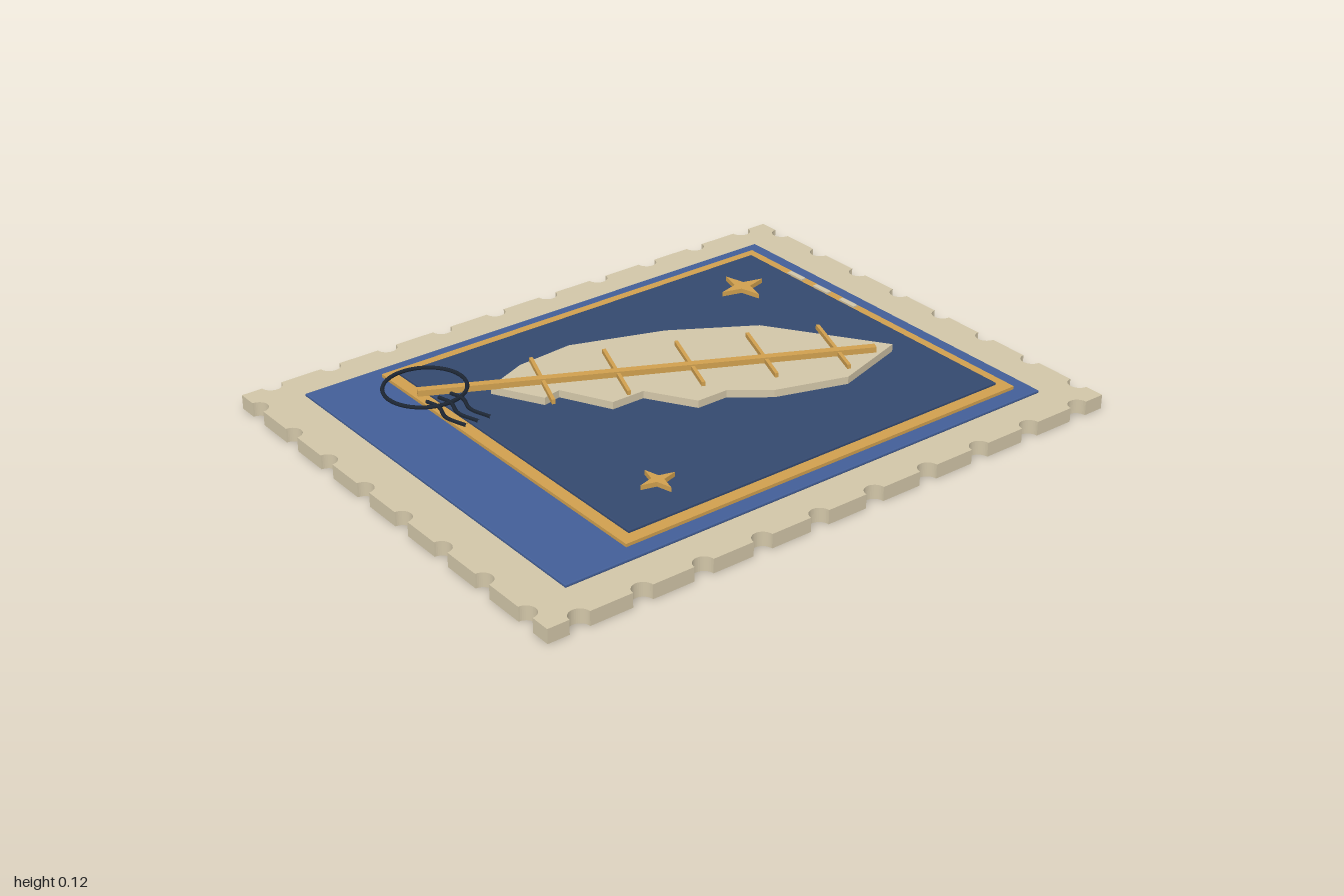
import * as THREE from 'three';

const mat = (color) => new THREE.MeshStandardMaterial({ color, flatShading: true });
const PAPER = mat(0xd2c6a8), BLUE = mat(0x435f98), NAVY = mat(0x34496f);
const GOLD = mat(0xd0a04f), INK = mat(0x1c2532);

export function createModel() {
  const root = new THREE.Group();

  const add = (name, geometry, material) => {
    const mesh = new THREE.Mesh(geometry, material);
    mesh.name = name;
    root.add(mesh);
    return mesh;
  };

  // Lays a shape drawn in (x, -z) flat and extrudes it upward from y0 to y1.
  const slab = (name, shape, y0, y1, material, bevel = 0) => {
    const geo = new THREE.ExtrudeGeometry(shape, {
      depth: y1 - y0 - 2 * bevel, curveSegments: 10, bevelEnabled: bevel > 0,
      bevelSize: bevel, bevelThickness: bevel, bevelOffset: -bevel, bevelSegments: 2,
    });
    geo.rotateX(-Math.PI / 2).translate(0, y0 + bevel, 0);
    return add(name, geo, material);
  };

  const polygon = (points) => new THREE.Shape(points.map(([x, z]) => new THREE.Vector2(x, -z)));
  const rect = (x, z0, z1) => polygon([[-x, z1], [x, z1], [x, z0], [-x, z0]]);

  // Flat bar between two points of the ground plane.
  const bar = (name, [x0, z0], [x1, z1], width, y0, y1, material) => {
    const geo = new THREE.BoxGeometry(Math.hypot(x1 - x0, z1 - z0), y1 - y0, width);
    const mesh = add(name, geo, material);
    mesh.position.set((x0 + x1) / 2, (y0 + y1) / 2, (z0 + z1) / 2);
    mesh.rotation.y = -Math.atan2(z1 - z0, x1 - x0);
  };

  // Paper with perforated edges
  const W = 0.778, H = 1, R = 0.032;
  const paper = new THREE.Shape();
  paper.moveTo(-W, -H);
  const sides = [
    [0, -H, 0, 8, 0.195, W, -H],
    [W, 0, Math.PI / 2, 10, 0.2, W, H],
    [0, H, Math.PI, 8, 0.195, -W, H],
    [-W, 0, -Math.PI / 2, 10, 0.2, -W, -H],
  ];
  for (const [mx, my, dir, count, step, endX, endY] of sides) {
    for (let i = 0; i < count; i++) {
      const t = (i - (count - 1) / 2) * step;
      paper.absarc(mx + t * Math.cos(dir), my + t * Math.sin(dir), R, dir + Math.PI, dir, true);
    }
    paper.lineTo(endX, endY);
  }
  slab('perforatedPaper', paper, 0, 0.045, PAPER);

  // Stacked picture panels
  slab('bluePanel', rect(0.655, -0.86, 0.856), 0.045, 0.055, BLUE, 0.003);
  const frame = rect(0.605, -0.806, 0.624);
  frame.holes.push(rect(0.55, -0.755, 0.57));
  slab('goldFrame', frame, 0.055, 0.065, GOLD);
  slab('innerPanel', rect(0.566, -0.77, 0.586), 0.055, 0.073, NAVY, 0.003);

  // Small dashes on the top rail of the frame
  for (const x of [-0.36, -0.235, -0.11]) {
    bar('frameDash', [x - 0.034, -0.79], [x + 0.034, -0.79], 0.018, 0.06, 0.07, PAPER);
  }

  // Feather vane with a ragged right edge
  slab('featherVane', polygon([
    [0.23, -0.665], [0.305, -0.42], [0.235, -0.195], [0.15, -0.085], [0.15, 0.02],
    [0.005, 0.11], [0.005, 0.22], [-0.15, 0.3], [-0.137, 0.36], [-0.29, 0.445],
    [-0.35, 0.3], [-0.365, 0.11], [-0.265, -0.18], [-0.115, -0.43],
  ]), 0.073, 0.097, PAPER);

  // Quill and barbs
  bar('quill', [0.23, -0.595], [-0.38, 0.64], 0.024, 0.096, 0.115, GOLD);
  for (let i = 0; i < 5; i++) {
    const x = 0.14 - 0.09 * i, z = -0.505 + 0.204 * i;
    bar('featherBarb', [x - 0.129, z - 0.05], [x + 0.129, z + 0.05], 0.011, 0.096, 0.111, GOLD);
  }

  // Four-pointed stars
  for (const [x, z, radius] of [[-0.38, -0.58, 0.082], [0.418, 0.375, 0.06]]) {
    const points = [];
    for (let i = 0; i < 8; i++) {
      const r = i % 2 ? radius * 0.3 : radius, a = i * Math.PI / 4;
      points.push([x + r * Math.cos(a), z - r * Math.sin(a)]);
    }
    slab('star', polygon(points), 0.073, 0.088, GOLD);
  }

  // Postmark ring and wavy cancel lines
  const ring = add('postmarkRing', new THREE.TorusGeometry(0.123, 0.006, 8, 48).rotateX(Math.PI / 2), INK);
  ring.position.set(-0.37, 0.119, 0.62);
  for (const z of [0.577, 0.618, 0.659]) {
    const path = new THREE.CatmullRomCurve3([
      [-0.293, 0.004], [-0.245, -0.006], [-0.18, 0.012], [-0.104, -0.008],
    ].map(([x, dz]) => new THREE.Vector3(x, 0.119, z + dz)));
    add('postmarkWave', new THREE.TubeGeometry(path, 16, 0.006, 6), INK);
  }

  return root;
}
